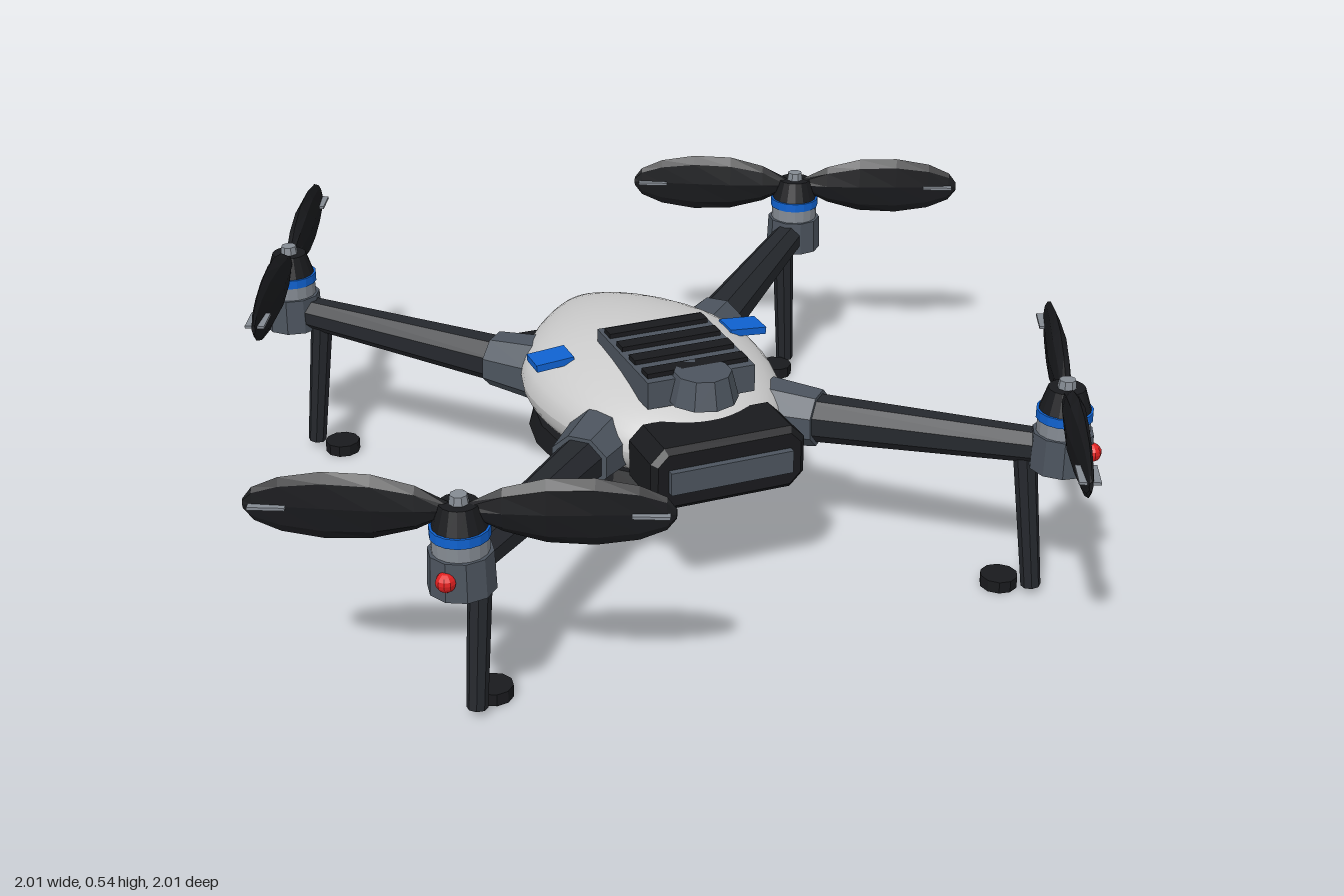
import * as THREE from 'three';

const mat = (color, flatShading = true) => new THREE.MeshStandardMaterial({ color, flatShading });
const BLACK = mat(0x191a1d), DARK = mat(0x25282d), GREY = mat(0x4c545e), STEEL = mat(0x858b93);
const WHITE = mat(0xdcdee0, false), BLUE = mat(0x0f62d0), RED = mat(0xe02020), GREEN = mat(0x18d060);

function add(parent, name, geometry, material, x = 0, y = 0, z = 0) {
  const mesh = new THREE.Mesh(geometry, material);
  mesh.name = name;
  mesh.position.set(x, y, z);
  parent.add(mesh);
  return mesh;
}
const box = (w, h, d) => new THREE.BoxGeometry(w, h, d);
const cyl = (rTop, rBottom, h, n = 16) => new THREE.CylinderGeometry(rTop, rBottom, h, n);

// Box with cut corners in its front outline
function chamferBox(w, h, d, c) {
  const a = w / 2, b = h / 2, e = c * 0.4;
  const pts = [[-a + c, -b], [a - c, -b], [a, -b + c], [a, b - c], [a - c, b], [-a + c, b], [-a, b - c], [-a, -b + c]];
  const shape = new THREE.Shape(pts.map(([x, y]) => new THREE.Vector2(x, y)));
  return new THREE.ExtrudeGeometry(shape, {
    depth: d - 2 * e, bevelThickness: e, bevelSize: e, bevelOffset: -e, bevelSegments: 1,
  }).translate(0, 0, e - d / 2);
}

// Moves each vertex by a rule
function deform(geometry, rule) {
  const p = geometry.attributes.position, v = new THREE.Vector3();
  for (let i = 0; i < p.count; i++) {
    rule(v.fromBufferAttribute(p, i));
    p.setXYZ(i, v.x, v.y, v.z);
  }
  geometry.computeVertexNormals();
  return geometry;
}

// Tapered octagonal bar between two [y, z] points of a corner group
function bar(parent, name, material, [y0, z0], [y1, z1], r0, r1, widen = 1) {
  const len = Math.hypot(y1 - y0, z1 - z0);
  const g = cyl(r1, r0, len, 8).rotateY(Math.PI / 8).scale(widen, 1, 1);
  const m = add(parent, name, g, material, 0, (y0 + y1) / 2, (z0 + z1) / 2);
  m.rotation.x = Math.atan2(z1 - z0, y1 - y0);
}

// Blade sections: distance from hub, half height, half thickness
const BLADE = [[0.02, 0.014, 0.012], [0.08, 0.045, 0.018], [0.16, 0.066, 0.02], [0.25, 0.069, 0.015],
  [0.33, 0.056, 0.01], [0.38, 0.034, 0.007], [0.398, 0.01, 0.004]];
function bladeGeometry() {
  const n = BLADE.length - 1;
  return deform(new THREE.CylinderGeometry(1, 1, 1, 8, n).rotateZ(-Math.PI / 2), (v) => {
    const [r, h, t] = BLADE[Math.round((v.x + 0.5) * n)];
    v.set(r, v.y * h, v.z * t);
  });
}

function buildBody(root) {
  // Egg-shaped shell, pinched toward the tail
  const shell = deform(new THREE.SphereGeometry(1, 40, 24).rotateX(Math.PI / 2), (v) => {
    const k = v.z < 0 ? 1 - 0.5 * v.z * v.z : 1;
    v.set(v.x * 0.27 * k, v.y * 0.127 * (0.5 + k / 2), v.z * 0.42);
  });
  add(root, 'shell', shell, WHITE, 0, 0.323, -0.04);

  // Dark lower hull
  const profile = [[0, 0.14], [0.45, 0.145], [0.78, 0.17], [1, 0.215], [0.95, 0.255], [0, 0.255]];
  const hull = new THREE.LatheGeometry(profile.map(([r, y]) => new THREE.Vector2(r, y)), 24);
  deform(hull, (v) => {
    const k = v.z < 0 ? 1 - 0.4 * v.z * v.z : 1;
    v.set(v.x * 0.262 * k, v.y, v.z * 0.365);
  });
  add(root, 'lowerHull', hull, BLACK, 0, 0, -0.025);

  // Front visor and rear bar
  add(root, 'visor', chamferBox(0.34, 0.14, 0.14, 0.03), BLACK, 0, 0.315, 0.35);
  add(root, 'visorPanel', box(0.27, 0.05, 0.02), GREY, 0, 0.315, 0.425);
  add(root, 'rearBar', box(0.34, 0.09, 0.05), BLACK, 0, 0.255, -0.385);

  // Vented battery on top
  add(root, 'batteryCover', box(0.24, 0.06, 0.29), GREY, 0, 0.435, 0.125);
  for (let i = 0; i < 4; i++) add(root, 'ventSlat', box(0.225, 0.016, 0.034), BLACK, 0, 0.467, 0.02 + i * 0.071);
  add(root, 'topButton', cyl(0.06, 0.075, 0.06, 10), GREY, 0, 0.445, 0.275);

  // Blue side tabs
  for (const s of [-1, 1]) {
    const tab = add(root, 'sideTab', box(0.085, 0.016, 0.065), BLUE, s * 0.225, 0.41, -0.027);
    tab.rotation.z = -s * 0.08;
  }
}

function buildCamera(root) {
  const cam = new THREE.Group();
  cam.name = 'camera';
  root.add(cam);
  add(cam, 'gimbalMount', cyl(0.045, 0.035, 0.07, 12), GREY, 0, 0.165, -0.3);
  add(cam, 'cameraBody', chamferBox(0.15, 0.115, 0.18, 0.025), BLACK, 0, 0.093, -0.3);
  const ring = (name, r, z0, z1, m) =>
    add(cam, name, cyl(r, r, z1 - z0, 20).rotateX(Math.PI / 2), m, 0, 0.1, (z0 + z1) / 2);
  ring('lensBarrel', 0.052, -0.435, -0.385, STEEL);
  ring('lensBand', 0.062, -0.445, -0.43, BLUE);
  ring('lensRim', 0.065, -0.462, -0.445, BLACK);
  ring('lensGlass', 0.042, -0.465, -0.46, GREY);
}

// Arm, motor and leg, with local +z pointing outward along the diagonal
function buildCorner(root, sx, sz) {
  const g = new THREE.Group();
  g.name = (sz > 0 ? 'front' : 'rear') + (sx > 0 ? 'Left' : 'Right') + 'Arm';
  g.rotation.y = Math.atan2(sx, sz);
  root.add(g);
  const D = 0.64 * Math.SQRT2;
  bar(g, 'arm', DARK, [0.305, 0.24], [0.345, D - 0.03], 0.056, 0.036, 1.05);
  bar(g, 'armCollar', GREY, [0.31, 0.27], [0.314, 0.385], 0.072, 0.06, 1.1);

  // Motor stack
  add(g, 'motorHousing', cyl(0.063, 0.066, 0.08, 10), GREY, 0, 0.348, D);
  add(g, 'motorCan', cyl(0.055, 0.055, 0.035), STEEL, 0, 0.402, D);
  add(g, 'motorBand', cyl(0.058, 0.058, 0.02), BLUE, 0, 0.428, D);
  add(g, 'motorCap', cyl(0.038, 0.054, 0.05), BLACK, 0, 0.46, D);
  add(g, 'propellerNut', cyl(0.017, 0.021, 0.025, 8), STEEL, 0, 0.49, D);
  add(g, 'navigationLight', new THREE.SphereGeometry(0.02, 10, 8), sz > 0 ? RED : GREEN, 0, 0.35, D + 0.062);

  // Landing leg and pad
  bar(g, 'leg', DARK, [0.33, 0.587 * Math.SQRT2], [0.015, 0.612 * Math.SQRT2], 0.025, 0.021);
  add(g, 'footPad', cyl(0.04, 0.04, 0.026, 10), BLACK, 0, 0.013, 0.563 * Math.SQRT2);
}

function buildPropeller(root, sx, sz, blade) {
  const prop = new THREE.Group();
  prop.name = 'propeller';
  prop.position.set(sx * 0.64, 0.472, sz * 0.64);
  prop.rotation.y = sx === sz ? Math.atan2(0.345, 0.16) : Math.atan2(-0.16, 0.345);
  root.add(prop);
  for (const turn of [0, Math.PI]) {
    const half = new THREE.Group();
    half.name = 'bladeHalf';
    half.rotation.y = turn;
    prop.add(half);
    add(half, 'blade', blade, BLACK);
    add(half, 'tipStripe', box(0.07, 0.006, 0.042), STEEL, 0.352, 0, 0);
  }
}

export function createModel() {
  const root = new THREE.Group();
  root.name = 'quadcopter';
  buildBody(root);
  buildCamera(root);
  const blade = bladeGeometry();
  for (const sx of [-1, 1]) for (const sz of [-1, 1]) {
    buildCorner(root, sx, sz);
    buildPropeller(root, sx, sz, blade);
  }
  return root;
}
